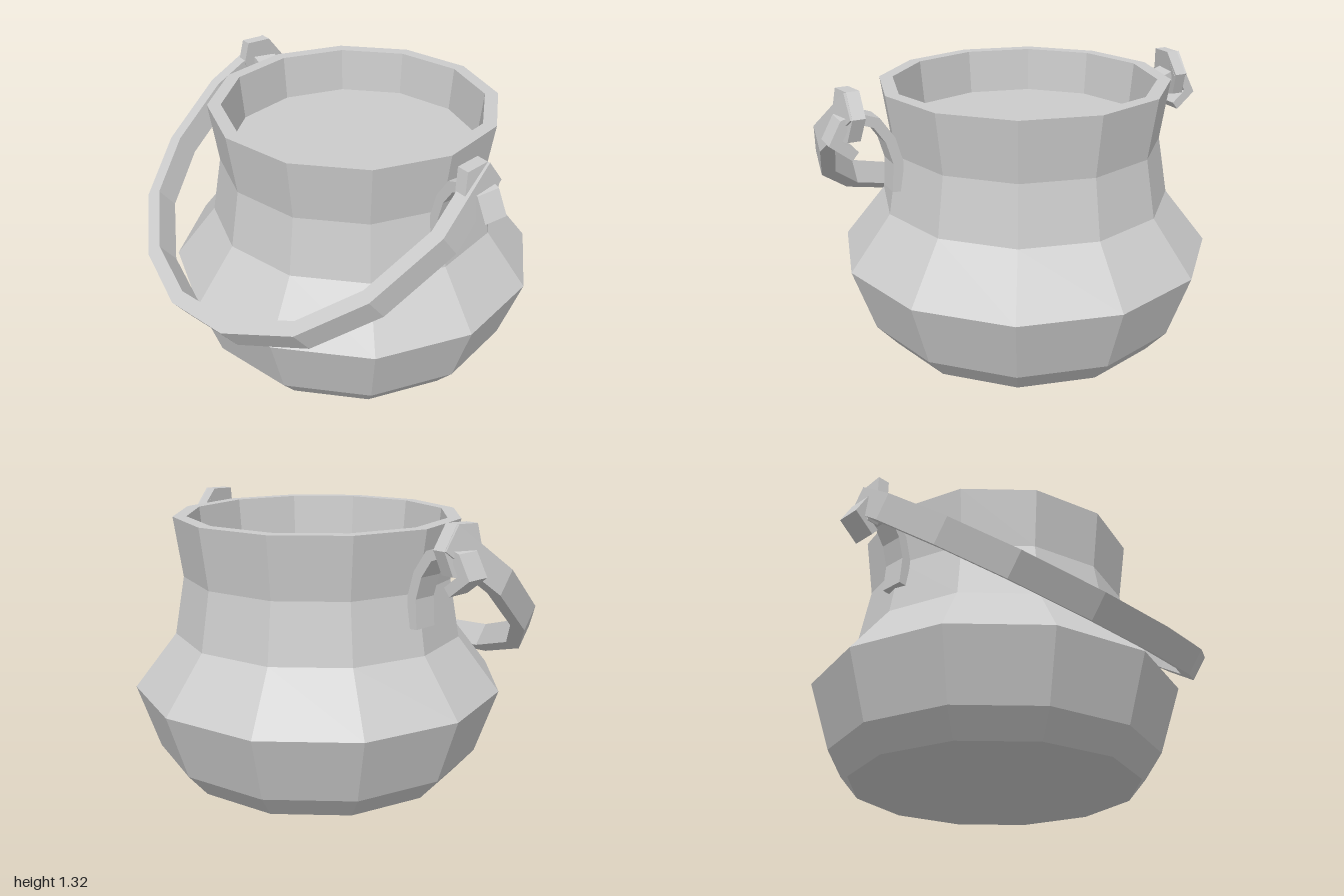
import * as THREE from 'three';

const material = new THREE.MeshStandardMaterial({ color: 0xcccccc, flatShading: true });
const CENTRE_Z = -0.065;

function addMesh(parent, name, geometry) {
  const mesh = new THREE.Mesh(geometry, material);
  mesh.name = name;
  parent.add(mesh);
  return mesh;
}

// Mitred copy of an open path, shifted to its left by the given distance
function offsetPath(path, distance) {
  return path.map((p, i) => {
    const before = path[Math.max(i - 1, 0)];
    const after = path[Math.min(i + 1, path.length - 1)];
    const normal = (a, b) => new THREE.Vector2(a.y - b.y, b.x - a.x).normalize();
    const n1 = i > 0 ? normal(before, p) : normal(p, after);
    const n2 = i < path.length - 1 ? normal(p, after) : n1;
    const mitre = n1.clone().add(n2);
    return p.clone().addScaledVector(mitre, distance / (1 + n1.dot(n2)));
  });
}

// Flat bar following a path: offsets give its thickness, width its depth
function barGeometry(path, from, to, width) {
  const outline = [...offsetPath(path, from), ...offsetPath(path, to).reverse()];
  return new THREE.ExtrudeGeometry(new THREE.Shape(outline), { depth: width, bevelEnabled: false });
}

const vectors = (list) => list.map(([x, y]) => new THREE.Vector2(x, y));

export function createModel() {
  const group = new THREE.Group();

  // Twelve-sided pot with a thick rim and a shallow inner floor
  const profile = vectors([
    [0, 0], [0.71, 0], [0.81, 0.12], [0.915, 0.44], [0.71, 0.7], [0.66, 0.98],
    [0.7, 1.27], [0.635, 1.27], [0.615, 1.05], [0, 1.05],
  ]);
  addMesh(group, 'pot', new THREE.LatheGeometry(profile, 12)).position.z = CENTRE_Z;

  // Swinging handle, drawn flat and tilted forward
  const half = [[0.37, 0.07], [0.7, 0.28], [0.89, 0.585], [0.965, 0.97], [0.895, 1.336]];
  const arc = vectors([...half.map(([x, y]) => [-x, y]).reverse(), [0, 0], ...half]);
  const handle = addMesh(group, 'handle', barGeometry(arc, 0, 0.07, 0.13));
  handle.rotation.x = -0.928;
  handle.position.set(0, 0.41, 0.9);

  for (const side of [-1, 1]) {
    const name = side > 0 ? 'left' : 'right';

    // Curled ear fixed to the neck
    const curl = vectors([
      [0.685, 0.83], [0.675, 0.97], [0.705, 1.08], [0.765, 1.17],
      [0.85, 1.2], [0.91, 1.18], [0.955, 1.1], [0.87, 1.03],
    ].map(([x, y]) => [side * x, y]));
    addMesh(group, name + 'Ear', barGeometry(curl, -0.024, 0.024, 0.12)).position.z = CENTRE_Z - 0.06;

    // Eye plate at the handle end, leaning with the bar; shape is (-z, y)
    const outline = vectors([
      [-0.05, 1.2], [0, 1.07], [0.13, 1.1], [0.17, 1.21], [0.09, 1.315], [-0.03, 1.31],
    ]);
    const eye = new THREE.ExtrudeGeometry(new THREE.Shape(outline), { depth: 0.06, bevelEnabled: false });
    eye.rotateY(Math.PI / 2);
    eye.translate(side * 0.87 - 0.03, 0, 0);
    const pos = eye.attributes.position;
    for (let i = 0; i < pos.count; i++) {
      const lean = 0.11 * (pos.getZ(i) + 0.06) - 0.12 * (pos.getY(i) - 1.2);
      pos.setX(i, pos.getX(i) + side * lean);
    }
    eye.computeVertexNormals();
    addMesh(group, name + 'HandleEye', eye);
  }
  return group;
}
